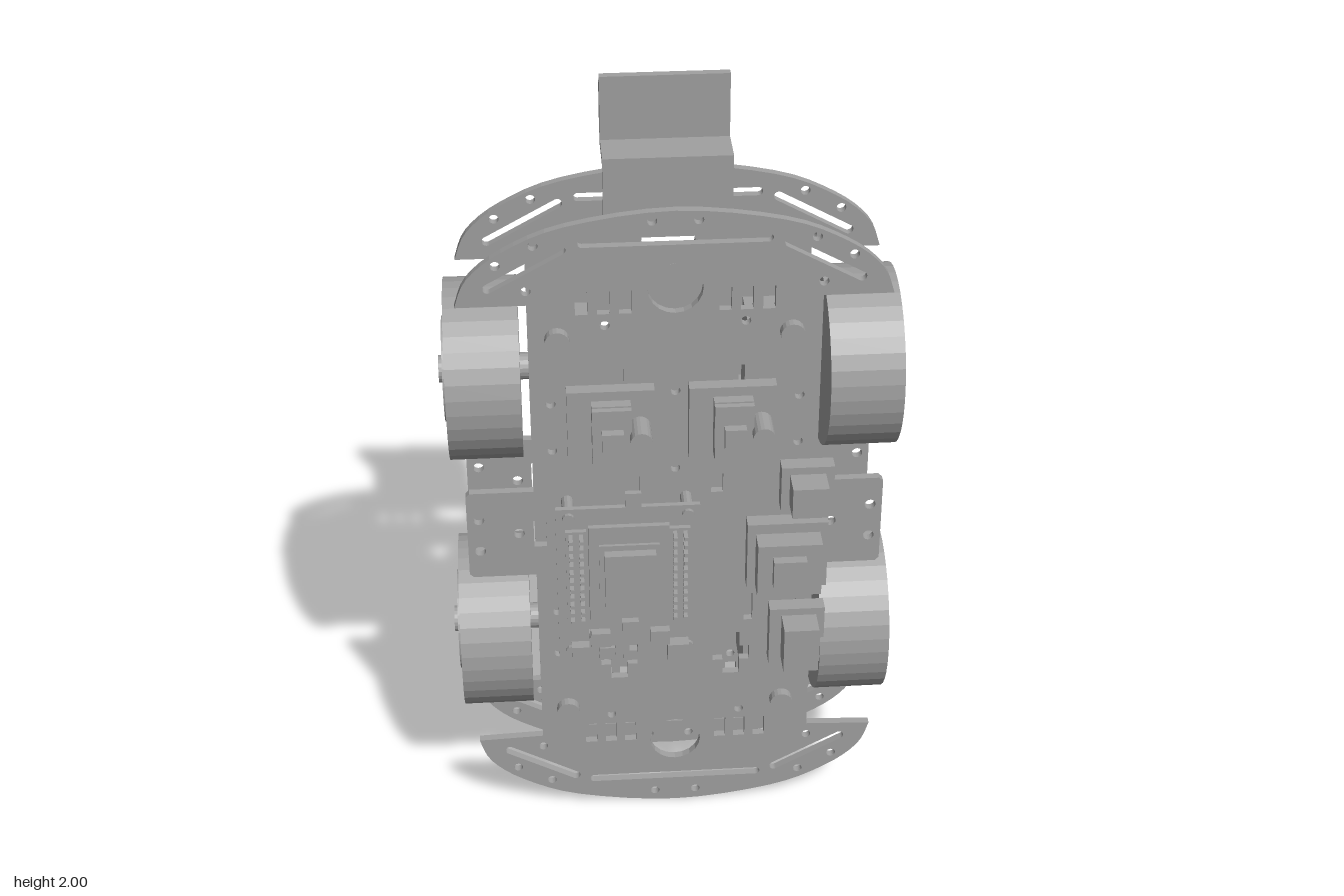
import * as THREE from 'three';

const grey = new THREE.MeshStandardMaterial({ color: 0xa0a0a0, flatShading: true });
grey.name = 'plain grey';

function add(parent, name, geometry) {
  const mesh = new THREE.Mesh(geometry, grey);
  mesh.name = name;
  parent.add(mesh);
  return mesh;
}

// Box given by its limits on each axis
function box(parent, name, x0, x1, y0, y1, z0, z1) {
  const m = add(parent, name, new THREE.BoxGeometry(x1 - x0, y1 - y0, z1 - z0));
  m.position.set((x0 + x1) / 2, (y0 + y1) / 2, (z0 + z1) / 2);
  return m;
}

// Cylinder along z
function rod(parent, name, x, y, r, z0, z1, sides = 20) {
  const m = add(parent, name, new THREE.CylinderGeometry(r, r, z1 - z0, sides));
  m.rotation.x = Math.PI / 2;
  m.position.set(x, y, (z0 + z1) / 2);
  return m;
}

// Hole shapes
function circleHole(x, y, r) {
  return new THREE.Path().absarc(x, y, r, 0, Math.PI * 2, true);
}
function rectHole(x, y, w, h) {
  return new THREE.Path([[-1, -1], [-1, 1], [1, 1], [1, -1]]
    .map(([a, b]) => new THREE.Vector2(x + a * w / 2, y + b * h / 2)));
}
function slotHole(x1, y1, x2, y2, r) {
  const a = Math.atan2(y2 - y1, x2 - x1), q = Math.PI / 2;
  const p = new THREE.Path();
  p.absarc(x2, y2, r, a - q, a + q);
  p.absarc(x1, y1, r, a + q, a + 3 * q);
  p.closePath();
  return p;
}
function crossHole(x, y) {
  const a = 0.022, w = 0.048, h = 0.067;
  return new THREE.Path([[a, h], [a, a], [w, a], [w, -a], [a, -a], [a, -h], [-a, -h], [-a, -a],
    [-w, -a], [-w, a], [-a, a], [-a, h]].map(([u, v]) => new THREE.Vector2(x + u, y + v)));
}

// Chassis plate: waisted body, side wings and a curved bumper at each end
function plateGeometry() {
  const arc = new THREE.SplineCurve([[0.525, 1.567], [0.495, 1.64], [0.41, 1.71], [0.26, 1.772], [0, 1.805],
    [-0.26, 1.772], [-0.41, 1.71], [-0.495, 1.64], [-0.525, 1.567]]
    .map(([x, y]) => new THREE.Vector2(x, y))).getPoints(32);
  const v = (x, y) => new THREE.Vector2(x, y);
  const shape = new THREE.Shape([
    ...arc,
    v(-0.355, 1.567), v(-0.355, 1.035), v(-0.515, 1.035), v(-0.525, 1.025), v(-0.525, 0.79),
    v(-0.515, 0.78), v(-0.355, 0.78), v(-0.355, 0.245),
    ...arc.map(p => v(-p.x, 1.805 - p.y)),
    v(0.355, 0.245), v(0.355, 0.78), v(0.515, 0.78), v(0.525, 0.79), v(0.525, 1.025),
    v(0.515, 1.035), v(0.355, 1.035), v(0.355, 1.567),
  ]);
  const holes = shape.holes;
  for (const f of [y => y, y => 1.814 - y]) {
    holes.push(circleHole(0, f(1.6), 0.067));
    holes.push(slotHole(-0.22, f(1.727), 0.22, f(1.727), 0.011));
    for (const s of [-1, 1]) {
      holes.push(slotHole(s * 0.27, f(1.712), s * 0.445, f(1.615), 0.012));
      for (const x of [0.12, 0.172, 0.225]) holes.push(rectHole(s * x, f(1.567), 0.03, 0.062));
      for (const [x, y] of [[0.425, 1.675], [0.335, 1.725], [0.055, 1.78], [0.355, 1.605], [0.305, 1.29], [0.305, 1.155], [0.17, 1.505]])
        holes.push(circleHole(s * x, f(y), 0.012));
      holes.push(crossHole(s * 0.147, f(1.315)));
      holes.push(rectHole(s * 0.19, f(1.165), 0.022, 0.085));
    }
    holes.push(circleHole(0, f(1.315), 0.012));
    holes.push(circleHole(0, f(1.09), 0.012));
  }
  for (const s of [-1, 1]) {
    for (const [x, y] of [[0.495, 0.955], [0.495, 0.86], [0.395, 0.91]]) holes.push(circleHole(s * x, y, 0.014));
    holes.push(rectHole(s * 0.345 - 0.003 * s, 0.915, 0.032, 0.095));
    holes.push(rectHole(s * 0.105, 1.04, 0.03, 0.055));
  }
  return new THREE.ExtrudeGeometry(shape, { depth: 0.021, bevelEnabled: false, curveSegments: 10 });
}

// Wheel with raised hub, axle and gear motor; s is the side
function wheel(parent, s, y) {
  const g = new THREE.Group();
  g.name = 'wheelAndMotor';
  const disc = (name, r, x0, x1, sides) => {
    const m = add(g, name, new THREE.CylinderGeometry(r, r, x1 - x0, sides));
    m.rotation.z = Math.PI / 2;
    m.position.set(s * (x0 + x1) / 2, y, -0.066);
  };
  disc('tyre', 0.228, 0.376, 0.558, 36);
  disc('hub', 0.132, 0.5, 0.566, 36);
  disc('axle', 0.034, 0.34, 0.578, 20);
  const x = s * 0.27;
  box(g, 'gearMotor', x - 0.084, x + 0.084, y - 0.17, y + 0.14, -0.127, 0.05);
  parent.add(g);
}

// Driver module with a stacked chip and a round capacitor
function driverModule(parent, x) {
  const g = new THREE.Group();
  g.name = 'driverModule';
  box(g, 'moduleBase', x - 0.107, x + 0.107, 1.138, 1.34, 0.113, 0.148);
  box(g, 'moduleBlock', x - 0.048, x + 0.048, 1.16, 1.315, 0.148, 0.176);
  box(g, 'modulePlate', x - 0.048, x + 0.048, 1.16, 1.315, 0.182, 0.198);
  box(g, 'moduleChip', x - 0.025, x + 0.028, 1.205, 1.262, 0.14, 0.222);
  rod(g, 'capacitor', x + 0.07, 1.24, 0.027, 0.148, 0.228);
  parent.add(g);
}

// Main board on posts, with pin headers, raised daughter board and parts
function mainBoard(parent) {
  const g = new THREE.Group();
  g.name = 'mainBoard';
  box(g, 'board', -0.304, 0.056, 0.568, 1.03, 0.178, 0.192);
  for (const x of [-0.272, 0.026]) for (const y of [0.595, 1.005]) rod(g, 'boardPost', x, y, 0.015, 0.113, 0.202, 12);
  for (const x of [-0.255, 0.005]) {
    box(g, 'headerStrip', x - 0.026, x + 0.026, 0.7, 0.97, 0.192, 0.205);
    for (let i = 0; i < 11; i++) for (const d of [-0.013, 0.013]) {
      const y = 0.713 + i * 0.0245;
      box(g, 'headerPin', x + d - 0.005, x + d + 0.005, y - 0.005, y + 0.005, 0.16, 0.238);
    }
  }
  box(g, 'daughterBoard', -0.225, -0.025, 0.655, 1.02, 0.248, 0.262);
  for (const x of [-0.215, -0.035]) box(g, 'daughterSupport', x - 0.009, x + 0.009, 0.7, 0.97, 0.192, 0.248);
  box(g, 'processorBase', -0.2, -0.05, 0.785, 0.97, 0.262, 0.27);
  box(g, 'processor', -0.187, -0.06, 0.8, 0.955, 0.27, 0.295);
  box(g, 'connector', -0.13, -0.09, 1.02, 1.07, 0.178, 0.192);
  // Small components: x, y, width, height, base z, top z
  for (const [x, y, w, h, z0, z1] of [
    [-0.125, 0.725, 0.042, 0.032, 0.262, 0.28], [-0.2, 0.69, 0.048, 0.042, 0.262, 0.285],
    [-0.05, 0.69, 0.048, 0.042, 0.262, 0.285], [-0.145, 0.64, 0.035, 0.04, 0.192, 0.255],
    [-0.08, 0.63, 0.05, 0.045, 0.192, 0.235], [0, 0.595, 0.055, 0.048, 0.192, 0.225],
    [-0.25, 0.6, 0.045, 0.04, 0.192, 0.22], [-0.18, 0.605, 0.045, 0.035, 0.192, 0.23],
    [-0.12, 0.585, 0.04, 0.03, 0.192, 0.215], [-0.215, 0.645, 0.025, 0.025, 0.192, 0.22],
  ]) box(g, 'component', x - w / 2, x + w / 2, y - h / 2, y + h / 2, z0, z1);
  parent.add(g);
}

export function createModel() {
  const car = new THREE.Group();
  car.name = 'robotCarChassis';

  const plate = plateGeometry();
  add(car, 'frontPlate', plate).position.z = 0.092;
  add(car, 'backPlate', plate).position.z = -0.148;

  for (const s of [-1, 1]) for (const y of [1.295, 0.516]) wheel(car, s, y);

  // Spacers joining the plates
  for (const x of [-0.285, 0.282]) for (const y of [1.473, 0.34]) {
    rod(car, 'spacer', x, y, 0.016, -0.15, 0.12);
    rod(car, 'spacerHead', x, y, 0.03, 0.11, 0.138);
    rod(car, 'spacerNut', x, y, 0.021, -0.162, -0.146);
  }

  box(car, 'batteryBox', -0.205, 0.203, 0.69, 1.122, -0.274, -0.146);

  // Stepped bracket carrying the sensor strip
  const bracket = new THREE.Group();
  bracket.name = 'sensorBracket';
  box(bracket, 'lowerFlange', -0.16, 0.157, 1.65, 1.835, -0.126, -0.107);
  box(bracket, 'shelf', -0.16, 0.157, 1.815, 1.835, -0.235, -0.107);
  box(bracket, 'upperFlange', -0.16, 0.157, 1.815, 2, -0.235, -0.214);
  box(bracket, 'sensorStrip', -0.16, 0.157, 1.84, 1.972, -0.26, -0.235);
  for (let i = 0; i < 5; i++) {
    const x = -0.125 + i * 0.062;
    box(bracket, 'sensorEye', x - 0.015, x + 0.015, 1.885, 1.925, -0.268, -0.26);
  }
  car.add(bracket);

  driverModule(car, -0.16);
  driverModule(car, 0.138);
  mainBoard(car);

  // Side modules
  const side = new THREE.Group();
  side.name = 'sideModules';
  box(side, 'upperBase', 0.262, 0.395, 0.975, 1.102, 0.113, 0.155);
  box(side, 'upperBody', 0.283, 0.373, 0.997, 1.082, 0.155, 0.224);
  box(side, 'middleBase', 0.18, 0.385, 0.738, 0.934, 0.113, 0.155);
  box(side, 'middleBody', 0.2, 0.363, 0.76, 0.913, 0.165, 0.222);
  box(side, 'middleCore', 0.215, 0.35, 0.775, 0.9, 0.155, 0.165);
  box(side, 'middleCap', 0.238, 0.322, 0.8, 0.88, 0.222, 0.248);
  box(side, 'lowerBase', 0.242, 0.385, 0.49, 0.665, 0.113, 0.155);
  box(side, 'lowerBody', 0.273, 0.363, 0.515, 0.645, 0.155, 0.224);
  car.add(side);

  return car;
}
